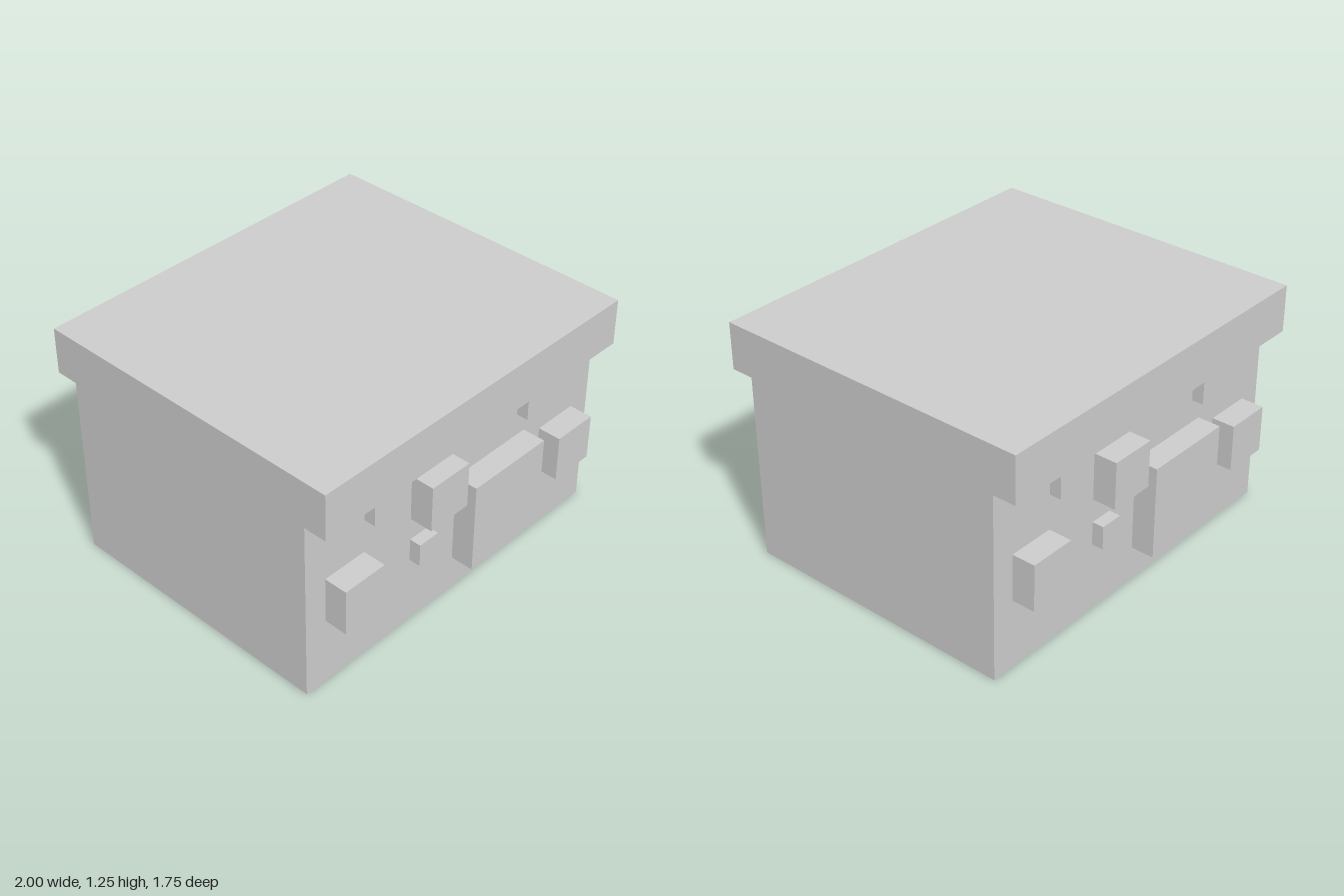
import * as THREE from 'three';

const U = 1 / 16; // the whole design sits on a 1/16 unit grid
const material = new THREE.MeshStandardMaterial({ color: 0xcccccc, flatShading: true });

// Box given by its minimum corner and size, in grid steps
function block(name, [x, y, z], [w, h, d]) {
  const mesh = new THREE.Mesh(new THREE.BoxGeometry(w * U, h * U, d * U), material);
  mesh.position.set((x + w / 2) * U, (y + h / 2) * U, (z + d / 2) * U);
  mesh.name = name;
  return mesh;
}

// Square studs on one wall: [name, x, y, side, depth]
const STUDS = [
  ['largeStud', 0, 3, 8, 2],
  ['mediumStudLeft', 10, 6, 4, 2],
  ['mediumStudRight', -14, 6, 4, 2],
  ['mediumStudUpper', -5, 10, 4, 2],
  ['smallStudLower', -5, 6, 2, 1],
  ['smallStudUpperLeft', 7, 13, 2, 1],
  ['smallStudUpperRight', -10, 13, 2, 1],
];

function studdedWall(name) {
  const wall = new THREE.Group();
  wall.name = name;
  for (const [stud, x, y, side, depth] of STUDS) {
    wall.add(block(stud, [x, y, 12], [side, side, depth]));
  }
  return wall;
}

export function createModel() {
  const model = new THREE.Group();
  model.name = 'studdedBlock';

  // Main body and the slab overhanging it at front and back
  model.add(block('body', [-16, 0, -12], [32, 16, 24]));
  model.add(block('topSlab', [-16, 16, -14], [32, 4, 28]));

  // The same stud pattern on the front and, turned half way round, on the back
  const back = studdedWall('backStuds');
  back.rotation.y = Math.PI;
  model.add(studdedWall('frontStuds'), back);

  return model;
}
